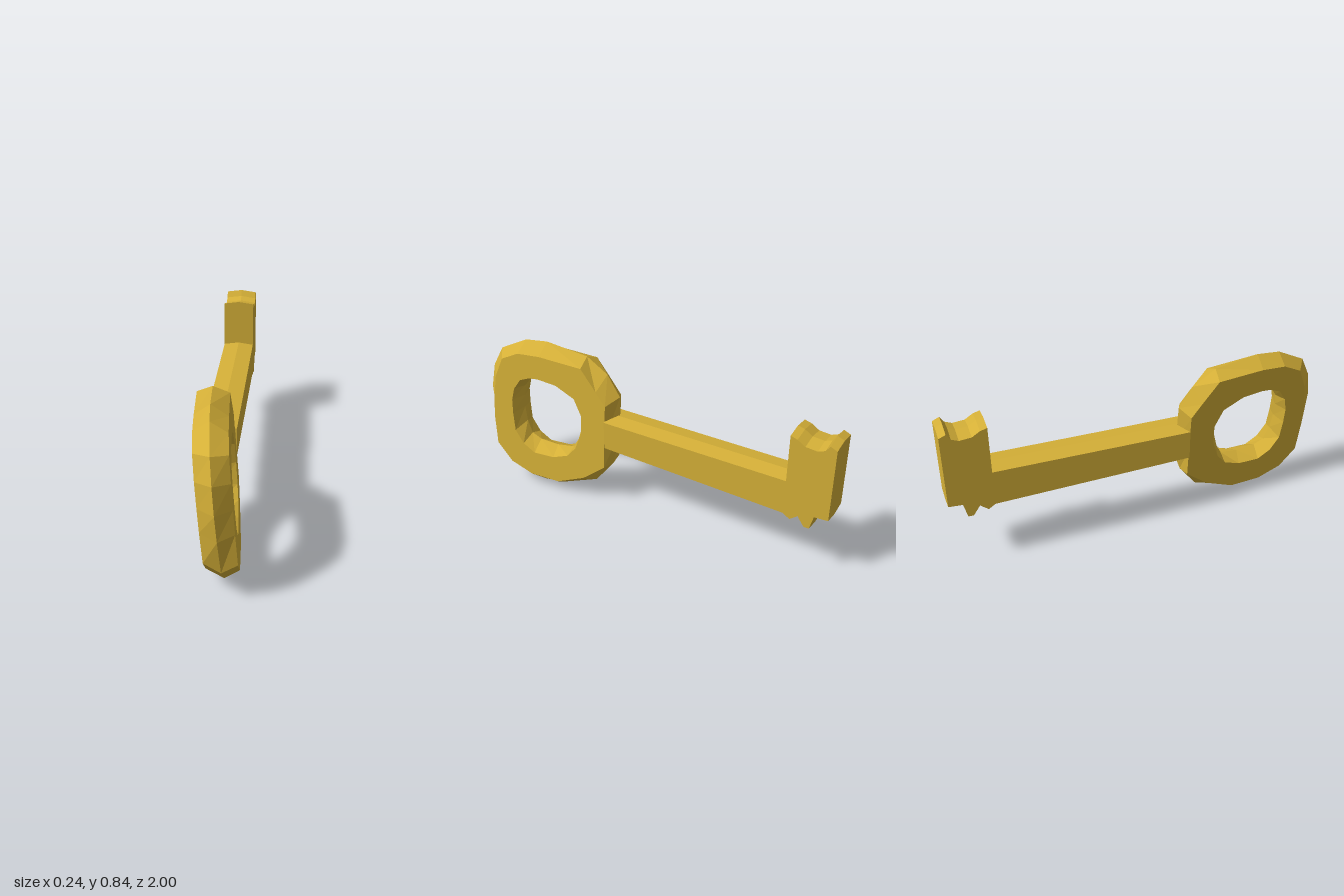
import * as THREE from 'three';

// Bow columns, clockwise from the top, as [z, y] pairs:
// outer ridge, outer face edge, inner face edge, inner ridge
const BOW = [
  [0.64, 0.845, 0.64, 0.79, 0.65, 0.66, 0.65, 0.635],
  [0.40, 0.815, 0.39, 0.78, 0.54, 0.65, 0.54, 0.62],
  [0.28, 0.74, 0.30, 0.67, 0.43, 0.60, 0.44, 0.60],
  [0.205, 0.63, 0.245, 0.60, 0.385, 0.51, 0.425, 0.52],
  [0.20, 0.43, 0.245, 0.40, 0.385, 0.41, 0.425, 0.41],
  [0.235, 0.23, 0.245, 0.24, 0.42, 0.31, 0.45, 0.32],
  [0.335, 0.10, 0.37, 0.14, 0.47, 0.25, 0.48, 0.265],
  [0.53, 0.025, 0.53, 0.07, 0.56, 0.215, 0.58, 0.25],
  [0.66, 0.005, 0.70, 0.07, 0.68, 0.21, 0.69, 0.255],
  [0.79, 0.035, 0.83, 0.115, 0.75, 0.25, 0.745, 0.28],
  [0.93, 0.17, 0.92, 0.21, 0.80, 0.32, 0.775, 0.35],
  [0.985, 0.37, 0.935, 0.38, 0.812, 0.42, 0.79, 0.43],
  [1.0, 0.51, 0.93, 0.50, 0.815, 0.50, 0.79, 0.50],
  [0.98, 0.64, 0.915, 0.62, 0.80, 0.57, 0.785, 0.56],
  [0.925, 0.75, 0.87, 0.73, 0.76, 0.63, 0.755, 0.61],
  [0.77, 0.83, 0.77, 0.78, 0.70, 0.655, 0.70, 0.635],
];

// Hexagonal cross-sections joined in a closed loop, leaning slightly sideways
function bowGeometry() {
  const half = 0.077;
  const section = [[0, 0], [1, half], [2, half], [3, 0], [2, -half], [1, -half]];
  const sides = section.length;
  const positions = [];
  const index = [];
  BOW.forEach((column, i) => {
    section.forEach(([k, offset], j) => {
      const z = column[2 * k];
      const y = column[2 * k + 1];
      const lean = 0.004 + 0.08 * (z - 0.6) - 0.075 * (y - 0.43);
      positions.push(lean + offset, y, z);
      const i2 = (i + 1) % BOW.length;
      const j2 = (j + 1) % sides;
      const a = i * sides + j, b = i2 * sides + j;
      const c = i2 * sides + j2, d = i * sides + j2;
      index.push(a, d, c, a, c, b);
    });
  });
  const geometry = new THREE.BufferGeometry();
  geometry.setAttribute('position', new THREE.Float32BufferAttribute(positions, 3));
  geometry.setIndex(index);
  const flat = geometry.toNonIndexed();
  flat.computeVertexNormals();
  return flat;
}

// Side outline given as [z, y], extruded across x with a slightly crowned rim
function crownedPlate(outline, x0, x1) {
  const shape = new THREE.Shape(outline.map(([z, y]) => new THREE.Vector2(-z, y)));
  const geometry = new THREE.ExtrudeGeometry(shape, { depth: x1 - x0, steps: 2, bevelEnabled: false });
  geometry.rotateY(Math.PI / 2);
  geometry.translate(x0, 0, 0);
  const p = geometry.attributes.position;
  const mid = (x0 + x1) / 2;
  for (let i = 0; i < p.count; i++) {
    if (Math.abs(p.getX(i) - mid) < 0.01) {
      p.setY(i, p.getY(i) + Math.sign(p.getY(i) - 0.43) * 0.012);
    }
  }
  geometry.computeVertexNormals();
  return geometry;
}

export function createModel() {
  const gold = new THREE.MeshStandardMaterial({ color: 0xd4af37, flatShading: true });
  gold.name = 'gold';
  const model = new THREE.Group();
  model.name = 'key';

  const add = (name, geometry) => {
    const mesh = new THREE.Mesh(geometry, gold);
    mesh.name = name;
    model.add(mesh);
  };

  add('bow', bowGeometry());

  // Shaft and toothed bit share one outline
  add('shaftAndBit', crownedPlate([
    [0.245, 0.36], [0.245, 0.515], [-0.775, 0.52],
    // notched top of the bit
    [-0.775, 0.77], [-0.81, 0.76], [-0.85, 0.735], [-0.91, 0.73],
    [-0.945, 0.745], [-0.965, 0.775], [-1, 0.76],
    // teeth below
    [-1, 0.375], [-0.93, 0.37], [-0.912, 0.295], [-0.885, 0.295],
    [-0.85, 0.345], [-0.81, 0.312], [-0.775, 0.335],
  ], -0.109, 0.056));

  return model;
}
